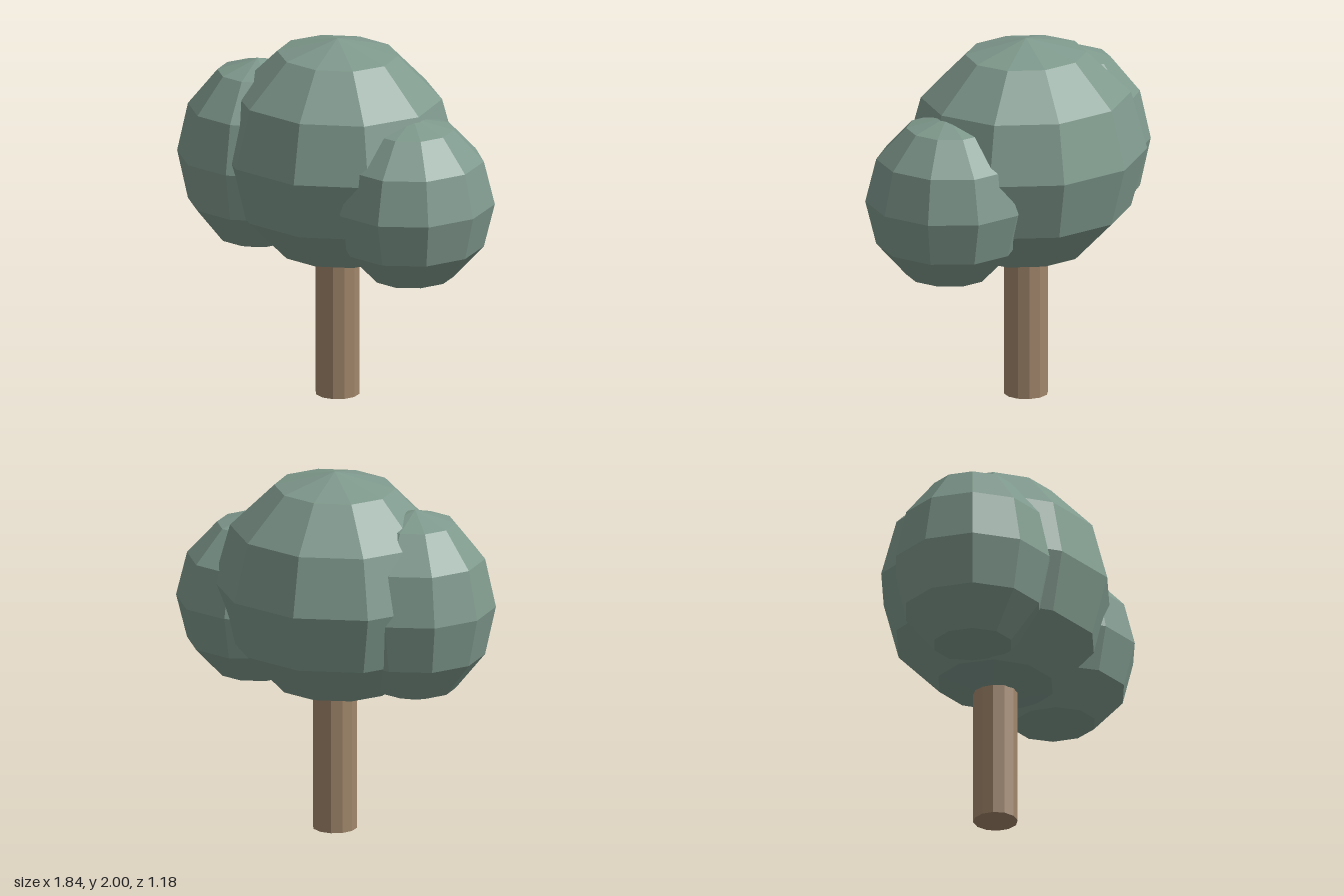
import * as THREE from 'three';

export function createModel() {
  const tree = new THREE.Group();
  tree.name = 'tree';

  const foliage = new THREE.MeshStandardMaterial({ color: 0x7f998d, flatShading: true });
  foliage.name = 'grey green foliage';
  const bark = new THREE.MeshStandardMaterial({ color: 0xa1866b, flatShading: true });
  bark.name = 'brown bark';

  // Straight twelve-sided trunk, reaching up into the crown
  const trunkHeight = 1.0;
  const trunk = new THREE.Mesh(new THREE.CylinderGeometry(0.12, 0.12, trunkHeight, 12), bark);
  trunk.name = 'trunk';
  trunk.position.set(-0.055, trunkHeight / 2, 0);
  tree.add(trunk);

  // Faceted, slightly stretched leaf clumps: [name, centre, radii]
  const clumps = [
    ['mainCrown', [-0.055, 1.36, 0], [0.67, 0.64, 0.62]],
    ['leftClump', [0.485, 1.19, 0], [0.43, 0.477, 0.458]],
    ['rightClump', [-0.485, 1.3, 0.16], [0.435, 0.535, 0.432]],
  ];
  for (const [name, centre, radii] of clumps) {
    const geometry = new THREE.SphereGeometry(1, 10, 6).scale(...radii);
    const clump = new THREE.Mesh(geometry, foliage);
    clump.name = name;
    clump.position.set(...centre);
    tree.add(clump);
  }
  return tree;
}
